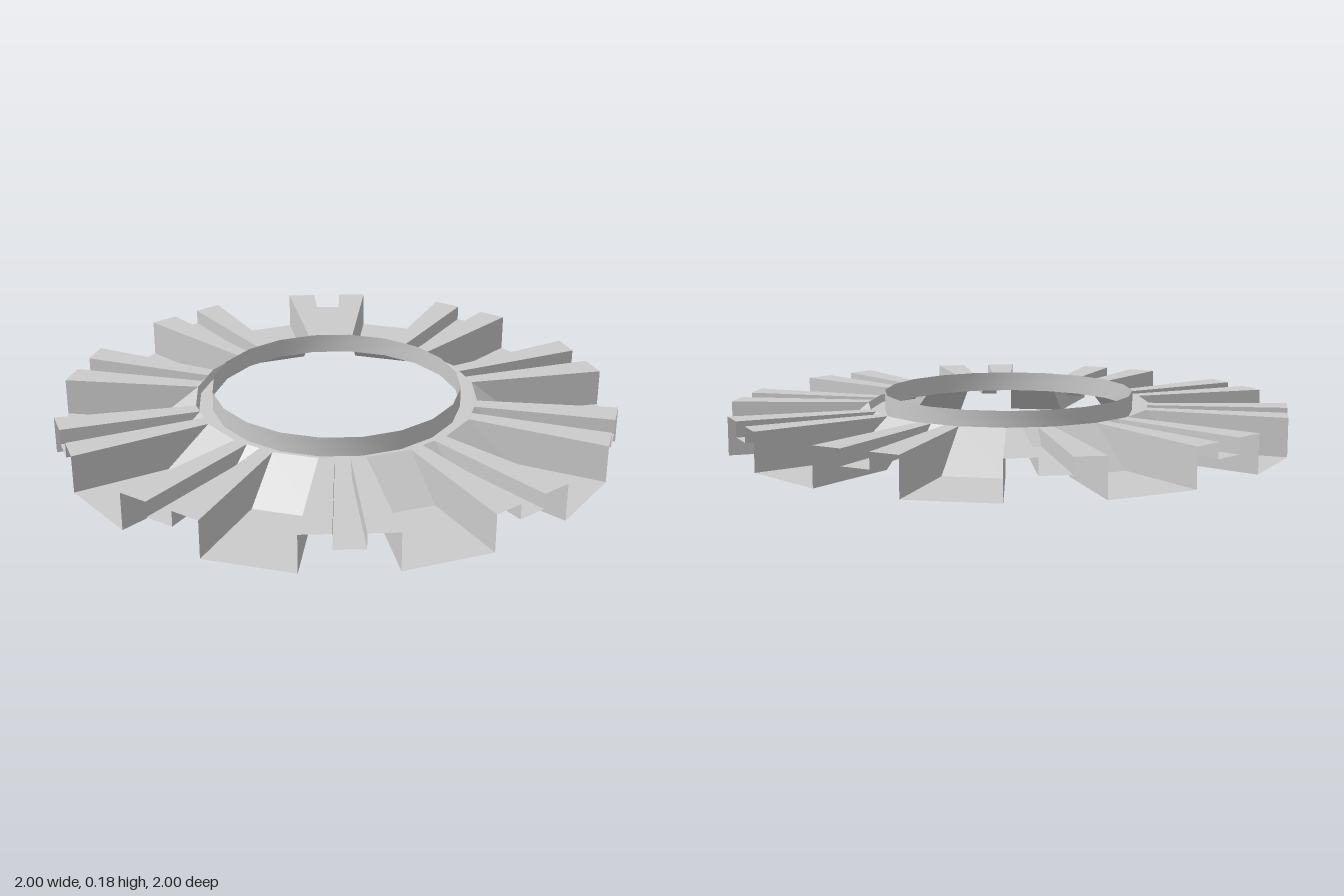
import * as THREE from 'three';
import { toCreasedNormals } from 'three/addons/utils/BufferGeometryUtils.js';

const SIDES = 20;
const R_OUT = 1, R_IN = 0.505, TOP = 0.135;

const sheet = new THREE.MeshStandardMaterial({ color: 0xcccccc, side: THREE.DoubleSide, flatShading: true });
const smooth = new THREE.MeshStandardMaterial({ color: 0xcccccc, side: THREE.DoubleSide });

// Point at t sides around the polygon (straight along each side)
function point(t, r, y) {
  const i = Math.floor(t), f = t - i;
  const a = (i / SIDES) * Math.PI * 2, b = ((i + 1) / SIDES) * Math.PI * 2;
  return [
    r * THREE.MathUtils.lerp(Math.sin(a), Math.sin(b), f), y,
    r * THREE.MathUtils.lerp(Math.cos(a), Math.cos(b), f),
  ];
}

function quadMesh(name, quads) {
  const pos = [];
  for (const [a, b, c, d] of quads) pos.push(...a, ...b, ...c, ...a, ...c, ...d);
  const geo = new THREE.BufferGeometry();
  geo.setAttribute('position', new THREE.Float32BufferAttribute(pos, 3));
  geo.computeVertexNormals();
  const mesh = new THREE.Mesh(geo, sheet);
  mesh.name = name;
  return mesh;
}

// Recessed channel: sloped inner end, flat floor and two upright side walls
function channel(name, t0, t1, rFoot, floor) {
  const e = 1e-6; // keep both ends on the same polygon side
  const s0 = t0 + e, s1 = t1 - e;
  const corners = (t) => [point(t, R_IN, TOP), point(t, rFoot, floor), point(t, R_OUT, floor), point(t, R_OUT, TOP)];
  const A = corners(s0), B = corners(s1);
  return quadMesh(name, [
    [A[0], A[1], B[1], B[0]],
    [A[1], A[2], B[2], B[1]],
    [A[0], A[3], A[2], A[1]],
    [B[0], B[1], B[2], B[3]],
  ]);
}

// Flat top of a ridge
function ridge(t0, t1) {
  return quadMesh('ridgeTop', [[
    point(t0, R_IN, TOP), point(t0, R_OUT, TOP),
    point(t1 - 1e-6, R_OUT, TOP), point(t1 - 1e-6, R_IN, TOP),
  ]]);
}

export function createModel() {
  const model = new THREE.Group();
  model.name = 'corrugatedRing';

  // Alternating ridged and deep sectors
  for (let i = 0; i < SIDES; i += 2) {
    const sector = new THREE.Group();
    sector.name = 'sectorPair';
    sector.add(
      ridge(i, i + 1 / 3),
      channel('shallowGroove', i + 1 / 3, i + 2 / 3, 0.56, 0.08),
      ridge(i + 2 / 3, i + 1),
      channel('deepChannel', i + 1, i + 2, 0.66, 0),
    );
    model.add(sector);
  }

  // Raised collar around the opening, with a ledge joining the sectors
  const profile = [[R_IN, TOP], [0.495, 0.11], [0.445, 0.11], [0.445, 0.18]]
    .map(([r, y]) => new THREE.Vector2(r, y));
  const collar = new THREE.Mesh(toCreasedNormals(new THREE.LatheGeometry(profile, SIDES), 0.6), smooth);
  collar.name = 'collar';
  model.add(collar);

  return model;
}
